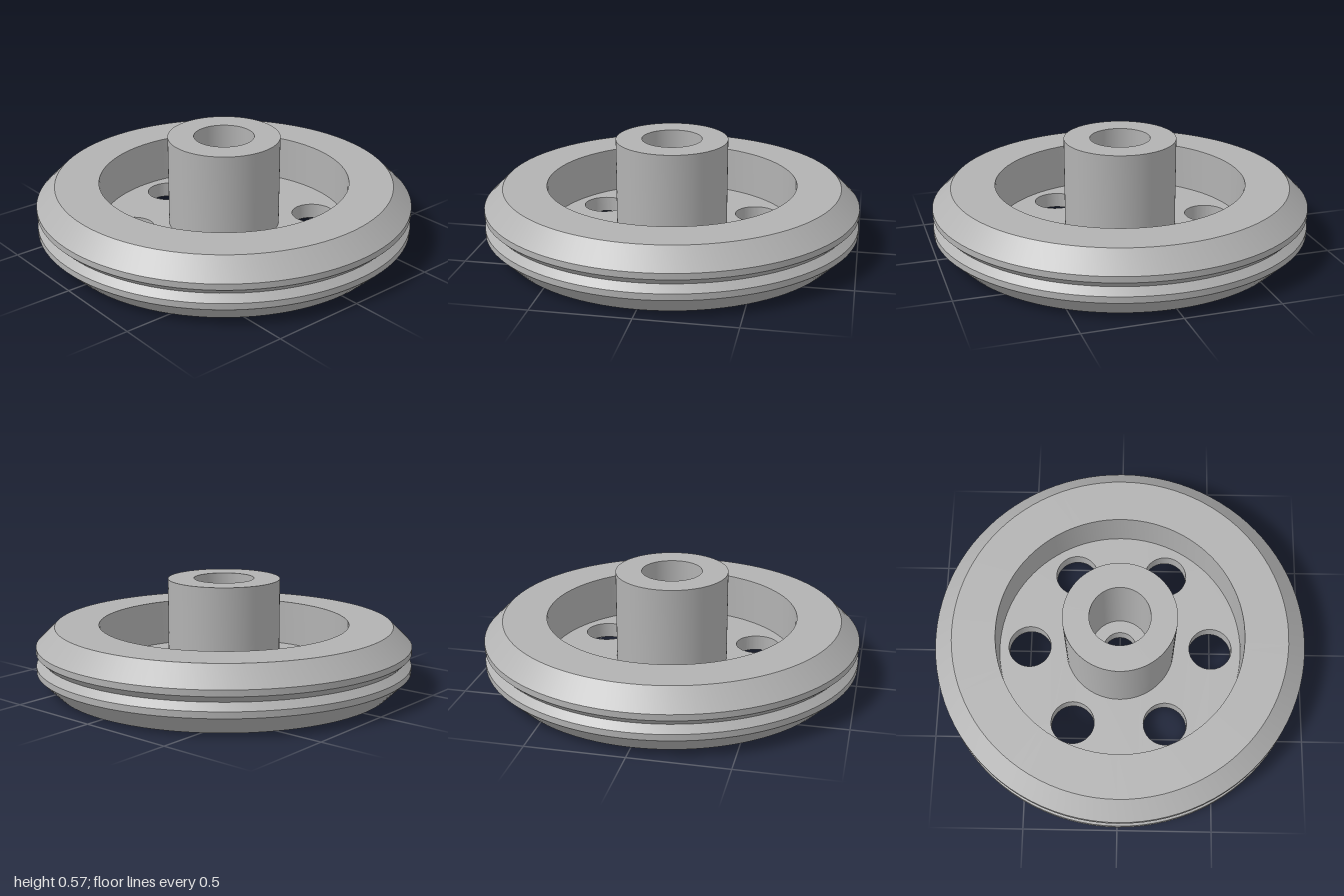
import * as THREE from 'three';
import { toCreasedNormals } from 'three/addons/utils/BufferGeometryUtils.js';

const SEGMENTS = 96;
const WEB = 0.083; // web thickness

export function createModel() {
  const model = new THREE.Group();
  model.name = 'pulleyWheel';
  const grey = new THREE.MeshStandardMaterial({ color: 0xb2b2b2 });
  grey.name = 'grey';

  const add = (name, geometry) => {
    const mesh = new THREE.Mesh(toCreasedNormals(geometry, 0.4), grey);
    mesh.name = name;
    model.add(mesh);
  };

  // Turned part from an anticlockwise (radius, height) profile
  const turned = (name, profile) =>
    add(name, new THREE.LatheGeometry(profile.map(([r, y]) => new THREE.Vector2(r, y)), SEGMENTS));

  const circle = (r, x = 0, y = 0) => new THREE.Path().absarc(x, y, r, 0, Math.PI * 2, false);

  // Hexagon with corners on the z axis
  const hexagon = (r) => Array.from({ length: 6 }, (_, i) => {
    const a = Math.PI / 2 + i * Math.PI / 3;
    return new THREE.Vector2(r * Math.cos(a), r * Math.sin(a));
  });

  // Flat plate lying between two heights
  const plate = (name, outline, holes, bottom, top) => {
    const shape = new THREE.Shape(outline);
    shape.holes = holes;
    const g = new THREE.ExtrudeGeometry(shape, { depth: top - bottom, bevelEnabled: false, curveSegments: 48 });
    g.rotateX(-Math.PI / 2);
    g.translate(0, bottom, 0);
    add(name, g);
  };

  // Bevelled rim with a V-groove around its edge
  turned('rim', [
    [0.667, 0], [0.9, 0], [1, 0.1], [1, 0.133], [0.965, 0.168], [1, 0.203],
    [1, 0.235], [0.9, 0.333], [0.667, 0.333], [0.667, 0],
  ]);

  // Web with six round holes and a hexagonal opening
  const holes = Array.from({ length: 6 }, (_, i) => {
    const a = Math.PI / 2 + i * Math.PI / 3;
    return circle(0.117, 0.5 * Math.cos(a), 0.5 * Math.sin(a));
  });
  plate('web', circle(0.667).getPoints(SEGMENTS), [...holes, new THREE.Path(hexagon(0.233))], 0, WEB);

  // Hexagonal groove floor and the island inside it
  plate('grooveFloor', hexagon(0.233), [new THREE.Path(hexagon(0.183))], 0.022, WEB);
  plate('hexIsland', hexagon(0.183), [circle(0.09)], 0, WEB);

  // Hub with a wide bore
  turned('hub', [[0.16, WEB], [0.298, WEB], [0.298, 0.573], [0.16, 0.573], [0.16, WEB]]);

  return model;
}
